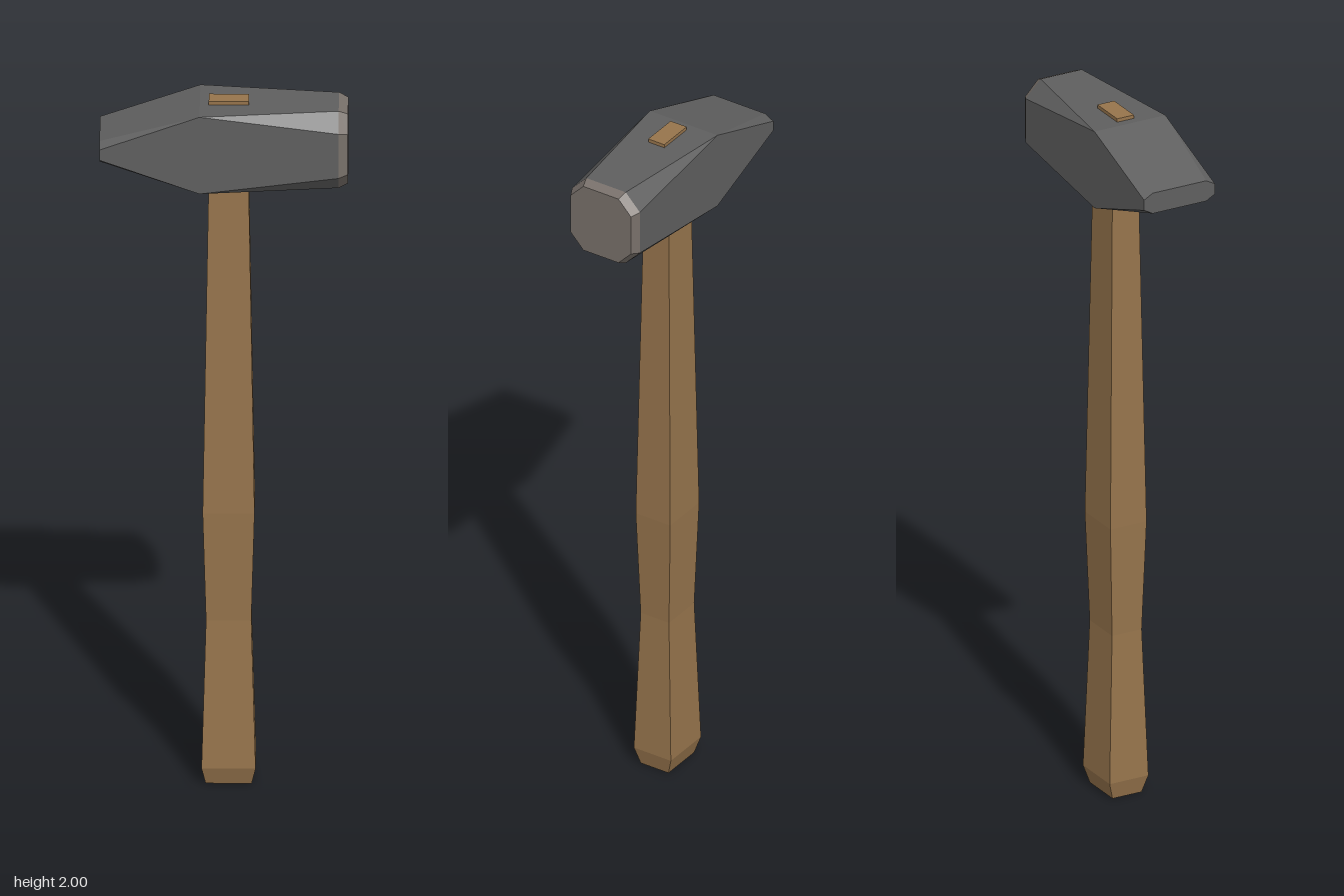
import * as THREE from 'three';

// Skin a list of matching rings (counter-clockwise seen from the far end), with optional end caps.
function loft(rings, capStart, capEnd) {
  const pos = [];
  const tri = (a, b, c) => {
    const area = new THREE.Triangle(a, b, c).getArea();
    if (area > 1e-8) pos.push(...a.toArray(), ...b.toArray(), ...c.toArray());
  };
  const n = rings[0].length;
  for (let r = 0; r < rings.length - 1; r++) {
    const a = rings[r], b = rings[r + 1];
    for (let i = 0; i < n; i++) {
      const j = (i + 1) % n;
      tri(a[i], a[j], b[j]);
      tri(a[i], b[j], b[i]);
    }
  }
  const first = rings[0], last = rings[rings.length - 1];
  for (let i = 1; i < n - 1; i++) {
    if (capStart) tri(first[0], first[i + 1], first[i]);
    if (capEnd) tri(last[0], last[i], last[i + 1]);
  }
  const g = new THREE.BufferGeometry();
  g.setAttribute('position', new THREE.Float32BufferAttribute(pos, 3));
  g.computeVertexNormals();
  return g;
}

// Chamfered rectangle across the head: half height h, half depth d, chamfers cy and cz.
function headRing(x, h, d, cy, cz) {
  const y = 1.877;
  return [
    [h, -d + cz], [h, d - cz], [h - cy, d], [-h + cy, d],
    [-h, d - cz], [-h, -d + cz], [-h + cy, -d], [h - cy, -d],
  ].map(([u, z]) => new THREE.Vector3(x, y + u, z));
}

// Rectangle across the handle: half width w, half depth d.
function handleRing(y, w, d) {
  return [[-d, -w], [d, -w], [d, w], [-d, w]]
    .map(([z, x]) => new THREE.Vector3(0.013 + x, y, z));
}

function part(name, geometry, color) {
  const mesh = new THREE.Mesh(geometry,
    new THREE.MeshStandardMaterial({ color, flatShading: true }));
  mesh.name = name;
  return mesh;
}

export function createModel() {
  const group = new THREE.Group();
  group.name = 'hammer';

  // Wooden handle, swelling at the grip and passing through the head
  const handle = [
    [0, 0.062, 0.045],
    [0.05, 0.073, 0.06],
    [0.48, 0.061, 0.046],
    [0.8, 0.07, 0.056],
    [1.765, 0.054, 0.041],
    [1.98, 0.054, 0.026],
    [2, 0.054, 0.026],
  ].map((s) => handleRing(...s));
  group.add(part('handle', loft(handle, true, true), 0x96744c));

  // Forged head: wedge end, square middle, chamfered poll
  const wedge = headRing(-0.335, 0.03, 0.11, 0.015, 0.027);
  const middle = headRing(-0.065, 0.113, 0.11, 0, 0);
  const poll = headRing(0.31, 0.113, 0.11, 0.048, 0.046);
  const face = headRing(0.335, 0.102, 0.098, 0.043, 0.041);
  group.add(part('head', loft([wedge, middle, poll], true, false), 0x5f5f5f));

  // Worn striking face with its bevelled rim
  group.add(part('strikingFace', loft([poll, face], false, true), 0x78706a));

  return group;
}
